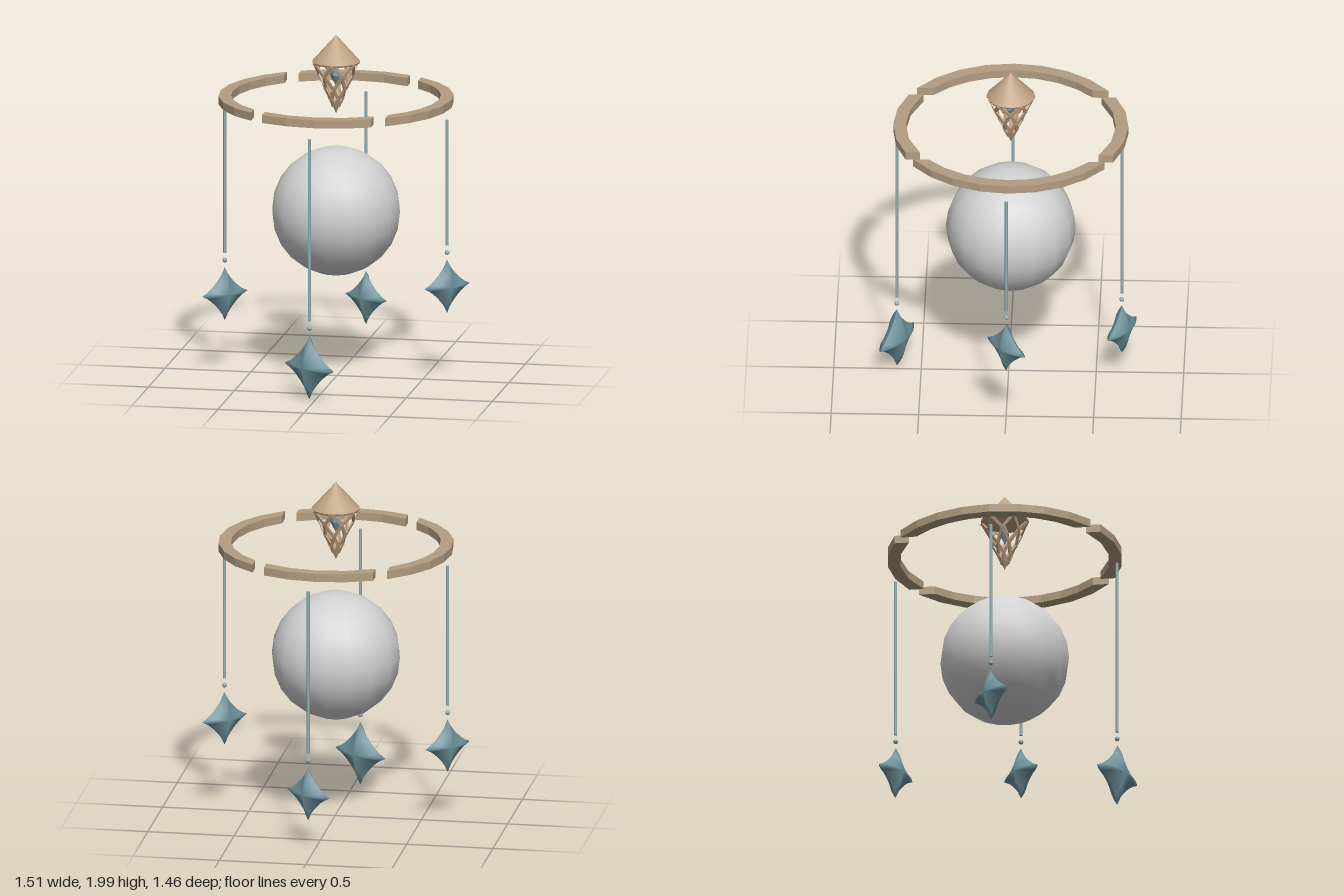
import * as THREE from 'three';
import { mergeVertices } from 'three/addons/utils/BufferGeometryUtils.js';

const CX = -0.007, CZ = -0.012;

export function createModel() {
  const model = new THREE.Group();
  model.name = 'hangingMobile';
  const mat = (name, color) => {
    const m = new THREE.MeshStandardMaterial({ color });
    m.name = name;
    return m;
  };
  const ringTan = mat('ringTan', 0xb39d82);
  const capTan = mat('capTan', 0xbfa284);
  const globeGrey = mat('globeGrey', 0xd2d2d2);
  const starTeal = mat('starTeal', 0x6c909a);
  const stringTeal = mat('stringTeal', 0x92b2b6);

  const add = (parent, name, geo, material, x = 0, y = 0, z = 0) => {
    const m = new THREE.Mesh(geo, material);
    m.name = name;
    m.position.set(x, y, z);
    parent.add(m);
    return m;
  };

  // Central globe
  add(model, 'globe', new THREE.SphereGeometry(0.371, 16, 12), globeGrey, CX, 0.971, CZ);

  // Ring in four arcs, every end cut parallel to the z axis
  const R = 0.672, r = 0.6, top = 1.647, height = 0.047;
  const arc = (name, mid, outerHalf, innerHalf, n) => {
    const pts = [];
    const push = (rad, a) => pts.push(new THREE.Vector2(rad * Math.cos(a), rad * Math.sin(a)));
    for (let i = 0; i <= n; i++) push(R, mid + outerHalf * (2 * i / n - 1));
    for (let i = n; i >= 0; i--) push(r, mid + innerHalf * (2 * i / n - 1));
    const geo = new THREE.ExtrudeGeometry(new THREE.Shape(pts), { depth: height, bevelEnabled: false });
    geo.rotateX(Math.PI / 2);
    add(model, name, geo, ringTan, CX, top, CZ);
  };
  arc('ringFront', Math.PI / 2, Math.asin(0.317 / R), Math.asin(0.317 / r), 4);
  arc('ringBack', -Math.PI / 2, Math.asin(0.317 / R), Math.asin(0.317 / r), 4);
  arc('ringLeft', 0, Math.acos(0.39 / R), Math.acos(0.39 / r), 8);
  arc('ringRight', Math.PI, Math.acos(0.39 / R), Math.acos(0.39 / r), 8);

  // Lantern: conical cap over a tapering lattice with a gem inside
  const lantern = new THREE.Group();
  lantern.name = 'lantern';
  lantern.position.set(CX, 0, CZ);
  model.add(lantern);
  add(lantern, 'cap', new THREE.ConeGeometry(0.138, 0.155, 16), capTan, 0, 1.9225, 0);
  add(lantern, 'capRim', new THREE.CylinderGeometry(0.138, 0.133, 0.01, 16), capTan, 0, 1.84, 0);

  const onCone = (y, a) => {
    const rad = 0.132 * (y - 1.54) / 0.3;
    return new THREE.Vector3(rad * Math.sin(a), y, rad * Math.cos(a));
  };
  const bar = (p, q) => {
    const along = q.clone().sub(p);
    const len = along.length();
    along.normalize();
    const out = p.clone().add(q).setY(0).normalize();
    const side = along.clone().cross(out).normalize();
    const m = add(lantern, 'latticeBar', new THREE.BoxGeometry(0.018, len + 0.008, 0.01), capTan);
    m.quaternion.setFromRotationMatrix(new THREE.Matrix4().makeBasis(side, along, side.clone().cross(along)));
    m.position.copy(p).add(q).multiplyScalar(0.5);
  };
  const levels = [1.84, 1.77, 1.69, 1.63, 1.585];
  for (let i = 0; i < 6; i++) {
    for (let k = 0; k < levels.length - 1; k++) {
      for (const s of [-1, 1]) {
        const a = i * Math.PI / 3;
        const b = a + s * Math.PI / 6;
        bar(onCone(levels[k], k % 2 ? b : a), onCone(levels[k + 1], k % 2 ? a : b));
      }
    }
  }
  const tip = add(lantern, 'latticeTip', new THREE.ConeGeometry(0.031, 0.07, 12), capTan, 0, 1.575, 0);
  tip.rotation.x = Math.PI;
  const gem = add(lantern, 'gem', new THREE.OctahedronGeometry(1), starTeal, 0, 1.765, 0);
  gem.scale.set(0.045, 0.065, 0.028);
  gem.rotation.y = -0.4;

  // Four-pointed puffed star: a sphere pressed into a lens with a concave outline
  const starGeometry = () => {
    const geo = new THREE.SphereGeometry(1, 40, 16);
    geo.rotateX(Math.PI / 2);
    const pos = geo.attributes.position;
    for (let i = 0; i < pos.count; i++) {
      const x = pos.getX(i), y = pos.getY(i), z = pos.getZ(i);
      const rho = Math.hypot(x, y);
      if (rho < 1e-6) {
        pos.setXYZ(i, 0, 0, Math.sign(z) * 0.32);
        continue;
      }
      const c = x / rho, s = y / rho, p = 0.78;
      const outline = Math.pow(Math.abs(c) ** p + Math.abs(s) ** p, -1 / p);
      const lens = Math.abs(z) < 1e-6 ? 0 : Math.sign(z) * 0.32 * (1 - rho ** 2.2);
      pos.setXYZ(i, c * rho * outline, s * rho * outline, lens);
    }
    geo.deleteAttribute('normal');
    geo.deleteAttribute('uv');
    const merged = mergeVertices(geo, 1e-5);
    merged.computeVertexNormals();
    return merged;
  };
  const starGeo = starGeometry();

  // Pendants: string, bead and star
  const pendants = [
    { name: 'leftPendant', x: 0.64, z: -0.005, y: 0.557, size: 0.157, turn: Math.PI / 4 },
    { name: 'rightPendant', x: -0.653, z: -0.005, y: 0.459, size: 0.156, turn: Math.PI / 4 },
    { name: 'frontPendant', x: -0.037, z: 0.64, y: 0.195, size: 0.187, turn: -Math.PI / 6 },
    { name: 'backPendant', x: 0.045, z: -0.648, y: 0.325, size: 0.157, turn: -Math.PI / 6 },
  ];
  for (const d of pendants) {
    const g = new THREE.Group();
    g.name = d.name;
    g.position.set(d.x, 0, d.z);
    model.add(g);
    const starTop = d.y + d.size;
    const low = starTop + 0.083, high = 1.53;
    add(g, 'string', new THREE.CylinderGeometry(0.009, 0.009, high - low, 8), stringTeal, 0, (high + low) / 2, 0);
    add(g, 'bead', new THREE.SphereGeometry(0.014, 10, 8), stringTeal, 0, starTop + 0.041, 0);
    const star = add(g, 'star', starGeo, starTeal, 0, d.y, 0);
    star.scale.setScalar(d.size);
    star.rotation.y = d.turn;
  }
  return model;
}
